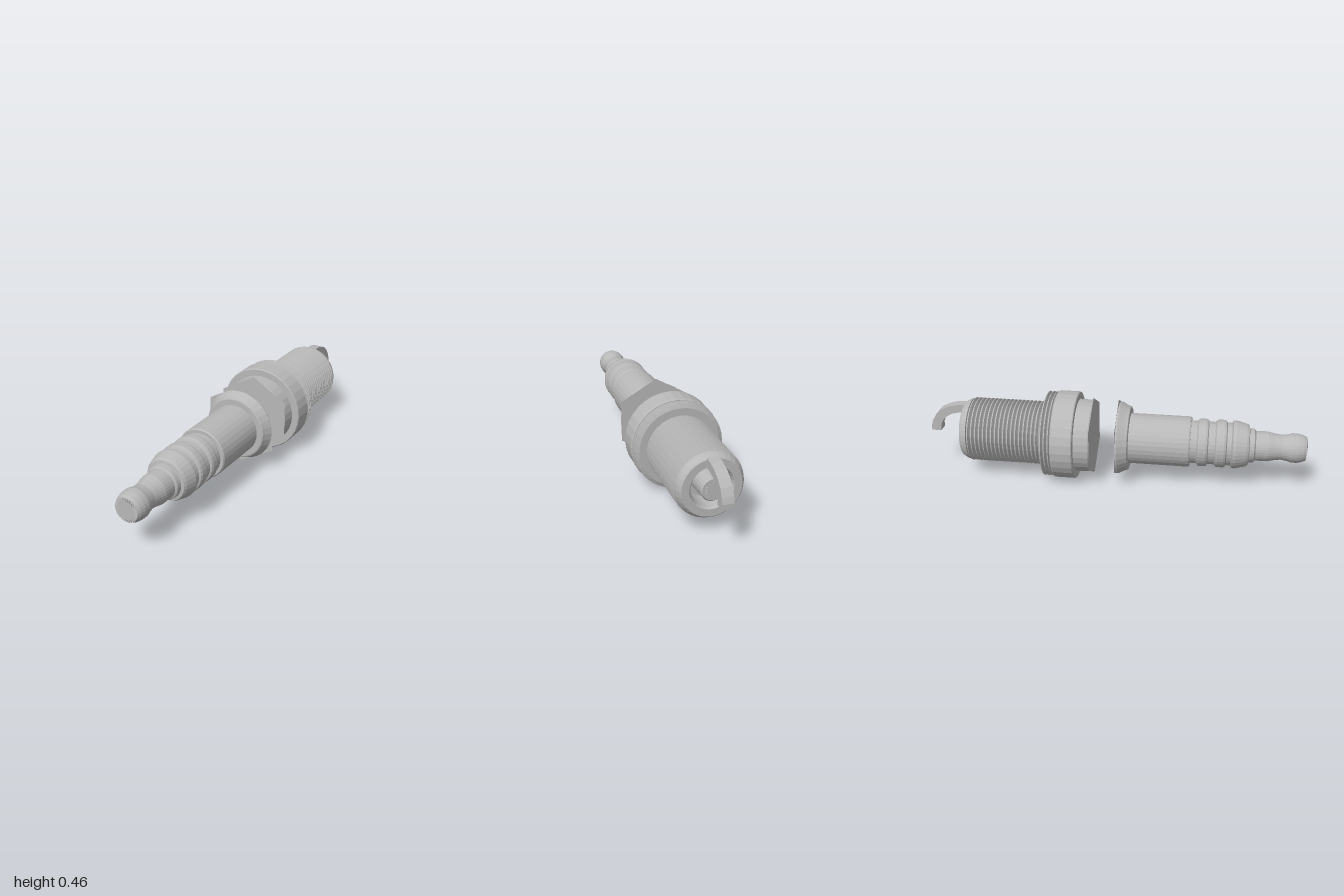
import * as THREE from 'three';

const AXIS = 0.232; // height of the plug's centre line

export function createModel() {
  const model = new THREE.Group();
  const steel = new THREE.MeshStandardMaterial({
    color: 0xb8b8b8, flatShading: true, side: THREE.DoubleSide,
  });
  steel.name = 'steel grey';

  function add(name, geometry) {
    const mesh = new THREE.Mesh(geometry, steel);
    mesh.name = name;
    model.add(mesh);
    return mesh;
  }

  // Turned part from [z, radius] pairs, listed from back to front
  function turned(name, profile, sides = 32) {
    const pts = profile.map(([z, r]) => new THREE.Vector2(r, z));
    const geo = new THREE.LatheGeometry(pts, sides);
    geo.rotateX(Math.PI / 2);
    geo.translate(0, AXIS, 0);
    return add(name, geo);
  }

  // Regular or star-shaped outline around the axis
  function outline(points, outer, inner = outer) {
    const shape = new THREE.Shape();
    for (let i = 0; i < points; i++) {
      const a = Math.PI / 2 + (i / points) * Math.PI * 2;
      const r = i % 2 ? inner : outer;
      shape[i ? 'lineTo' : 'moveTo'](r * Math.cos(a), r * Math.sin(a));
    }
    shape.closePath();
    return shape;
  }

  // Terminal knob and its neck
  turned('terminal', [
    [0.70, 0.078], [0.80, 0.078], [0.835, 0.070], [0.87, 0.065],
    [0.90, 0.070], [0.925, 0.077], [0.955, 0.076], [0.98, 0.070],
    [0.995, 0.062], [0.995, 0],
  ]);
  const knurl = new THREE.ExtrudeGeometry(outline(56, 0.061, 0.046), { depth: 0.006, bevelEnabled: false });
  knurl.translate(0, AXIS, 0.994);
  add('terminalKnurl', knurl);

  // Ribbed insulator, with a plain barrel behind the ribs
  turned('insulator', [
    [0.07, 0.133], [0.395, 0.133], [0.402, 0.128], [0.402, 0.112],
    [0.435, 0.112], [0.442, 0.122], [0.45, 0.125], [0.48, 0.125], [0.49, 0.121], [0.495, 0.112],
    [0.528, 0.112], [0.535, 0.122], [0.543, 0.125], [0.575, 0.125], [0.585, 0.121], [0.59, 0.112],
    [0.613, 0.112], [0.62, 0.125], [0.635, 0.126], [0.69, 0.112], [0.702, 0.105], [0.705, 0.09],
    [0.73, 0.088], [0.737, 0.078],
  ]);

  // Crimped collar in front of the nut
  turned('frontCollar', [
    [0.02, 0], [0.02, 0.186], [0.03, 0.192], [0.045, 0.184],
    [0.065, 0.174], [0.08, 0.168], [0.083, 0.162], [0.083, 0.13],
  ]);

  // Hexagonal plates at both ends of the nut
  for (const [name, z, turn] of [['frontHexPlate', 0.02, 0], ['rearHexPlate', -0.112, Math.PI]]) {
    const plate = new THREE.ShapeGeometry(outline(6, 0.22));
    plate.rotateY(turn);
    plate.translate(0, AXIS, z);
    add(name, plate);
  }

  // Seat flange and rear collar
  turned('flange', [
    [-0.31, 0.17], [-0.31, 0.226], [-0.303, 0.232], [-0.2, 0.232],
    [-0.195, 0.228], [-0.195, 0.193], [-0.12, 0.191], [-0.112, 0.186], [-0.112, 0],
  ]);

  // Saw-tooth rings shared by the gasket and the thread
  function rings(z0, z1, count, root, crest) {
    const step = (z1 - z0) / count, pts = [];
    for (let i = 0; i < count; i++) {
      const z = z0 + i * step;
      pts.push([z, root], [z + step * 0.4, crest], [z + step * 0.6, crest]);
    }
    pts.push([z1, root]);
    return pts;
  }
  turned('gasket', [[-0.37, 0.15], ...rings(-0.37, -0.31, 3, 0.207, 0.226)]);
  turned('thread', rings(-0.772, -0.365, 19, 0.152, 0.17));

  // End of the shell with its open recess
  turned('shellEnd', [
    [-0.7, 0], [-0.7, 0.095], [-0.8, 0.1], [-0.812, 0.108], [-0.812, 0.145],
    [-0.803, 0.153], [-0.785, 0.163], [-0.772, 0.165], [-0.768, 0.15],
  ]);

  // Insulator nose and centre electrode
  turned('insulatorNose', [
    [-0.83, 0.036], [-0.83, 0.054], [-0.822, 0.06], [-0.7, 0.066],
  ], 24);
  const electrode = new THREE.ExtrudeGeometry(outline(32, 0.042, 0.032), { depth: 0.02, bevelEnabled: false });
  electrode.translate(0, AXIS, -0.834);
  add('centreElectrode', electrode);

  // Curved ground strap, drawn in side profile and extruded across
  const strapProfile = [
    [0.79, 0.382], [0.85, 0.378], [0.90, 0.365], [0.94, 0.345], [0.97, 0.315],
    [0.99, 0.28], [1, 0.25], [1, 0.222], [0.948, 0.222], [0.946, 0.255],
    [0.932, 0.285], [0.91, 0.308], [0.88, 0.325], [0.84, 0.335], [0.79, 0.338],
  ];
  const strapShape = new THREE.Shape(strapProfile.map(([u, v]) => new THREE.Vector2(u, v)));
  const strap = new THREE.ExtrudeGeometry(strapShape, { depth: 0.056, bevelEnabled: false });
  strap.rotateY(Math.PI / 2);
  strap.translate(-0.028, 0, 0);
  add('groundStrap', strap);

  return model;
}
